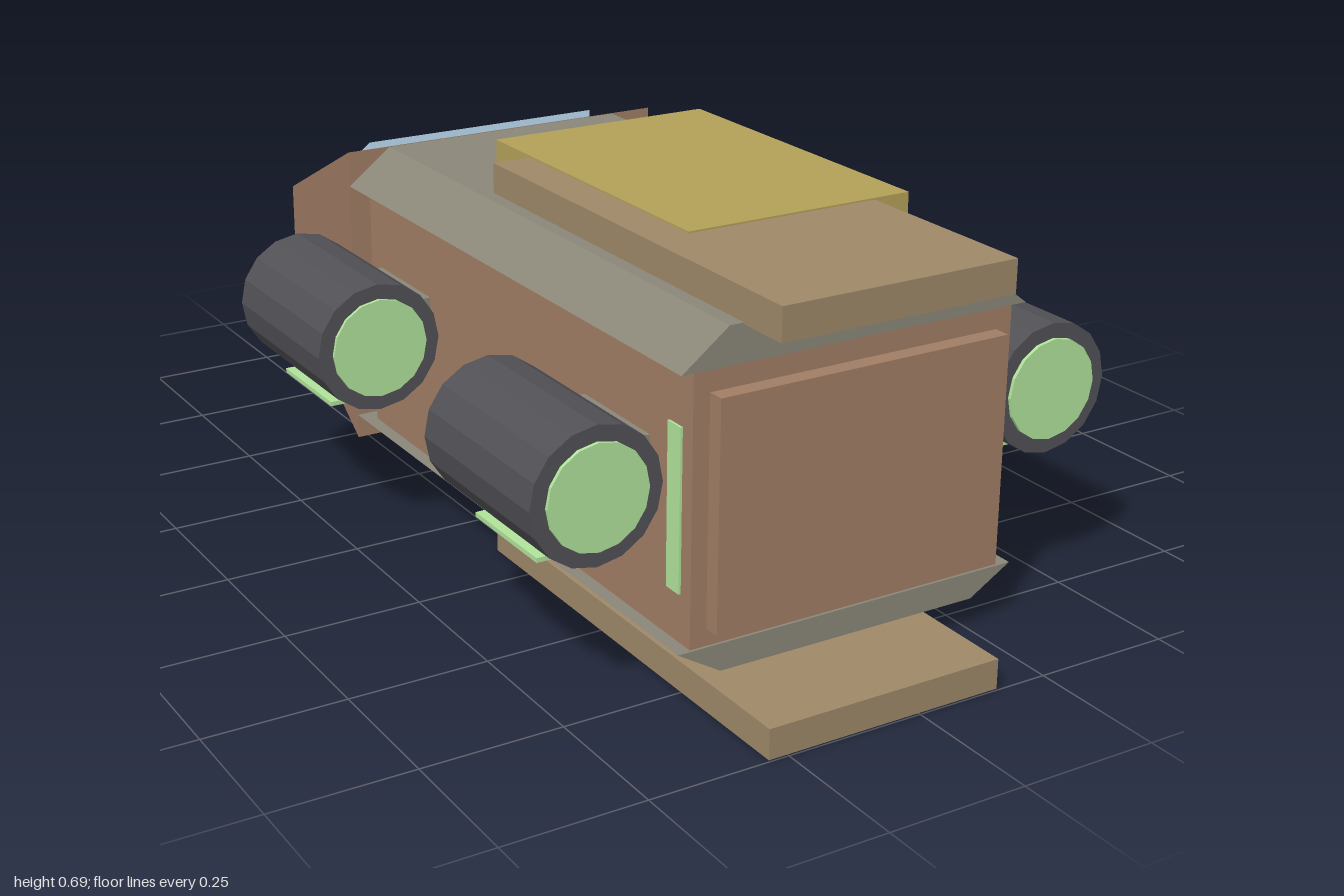
import * as THREE from 'three';

const mat = (color, side = THREE.FrontSide) => new THREE.MeshStandardMaterial({ color, flatShading: true, side });
const brown = mat(0xa07d65);
const grey = mat(0x8a8678);
const tan = mat(0x9e8868);
const yellow = mat(0xb3a058);
const dark = mat(0x515156);
const green = mat(0xb0e29a, THREE.DoubleSide);
const glass = mat(0xbfe0f6);

export function createModel() {
  const root = new THREE.Group();

  const add = (name, geometry, material, parent = root) => {
    const mesh = new THREE.Mesh(geometry, material);
    mesh.name = name;
    parent.add(mesh);
    return mesh;
  };

  // Box given by its limits on each axis
  const block = (name, material, [x0, x1], [y0, y1], [z0, z1], parent) => {
    const mesh = add(name, new THREE.BoxGeometry(x1 - x0, y1 - y0, z1 - z0), material, parent);
    mesh.position.set((x0 + x1) / 2, (y0 + y1) / 2, (z0 + z1) / 2);
    return mesh;
  };

  // Six-sided solid between two trapezoids: [z, bottom y, top y, bottom half width, top half width]
  const loft = (name, material, nose, tail) => {
    const geometry = new THREE.BoxGeometry(1, 1, 1);
    const p = geometry.attributes.position;
    for (let i = 0; i < p.count; i++) {
      const [z, y0, y1, w0, w1] = p.getZ(i) < 0 ? nose : tail;
      const top = p.getY(i) > 0;
      p.setXYZ(i, Math.sign(p.getX(i)) * (top ? w1 : w0), top ? y1 : y0, z);
    }
    geometry.computeVertexNormals();
    return add(name, geometry, material);
  };

  // Cabin, with an inner core that shows as the rear hatch
  block('cabin', brown, [-0.305, 0.305], [0.105, 0.57], [-0.315, 0.805]);
  block('rearHatch', brown, [-0.275, 0.275], [0.135, 0.53], [-0.35, 0.835]);

  // Bevelled roof and floor
  loft('roof', grey, [-0.35, 0.568, 0.633, 0.33, 0.245], [0.81, 0.568, 0.633, 0.33, 0.245]);
  loft('floor', grey, [-0.35, 0.057, 0.105, 0.25, 0.33], [0.81, 0.057, 0.105, 0.25, 0.33]);

  // Tapered cockpit with its raised window
  loft('cockpit', brown, [-1, 0.1, 0.38, 0.17, 0.17], [-0.35, 0.058, 0.634, 0.33, 0.33]);
  loft('window', glass, [-0.8, 0.43, 0.461, 0.145, 0.145], [-0.437, 0.56, 0.621, 0.245, 0.245]);

  // Overlapping roof plates
  block('roofPlateRear', tan, [-0.22, 0.222], [0.63, 0.688], [0.02, 0.908]);
  block('roofPlateFront', yellow, [-0.147, 0.293], [0.63, 0.691], [-0.105, 0.542]);

  // Overlapping belly plates and rails
  block('bellyPlateRear', tan, [-0.287, 0.153], [0.003, 0.056], [0.14, 1]);
  block('bellyPlateSide', yellow, [-0.03, 0.293], [0, 0.056], [0.37, 0.665]);
  for (const s of [-1, 1]) {
    const rail = block('bellyRail', yellow, [-0.023, 0.023], [0.03, 0.06], [-0.353, 0.703]);
    rail.position.x = s * 0.21;
  }

  // Panels on the left flank only
  block('sidePanel', tan, [0.3, 0.334], [0.29, 0.575], [-0.315, 0.425]);
  block('sideBox', yellow, [0.304, 0.358], [0.255, 0.61], [0.418, 0.743]);

  for (const s of [-1, 1]) {
    // Upright light strips by the rear corners
    const strip = block('lightStrip', green, [-0.004, 0.004], [0.19, 0.47], [0.74, 0.777]);
    strip.position.x = s * 0.305;

    // Two engines on each flank
    for (const z of [-0.172, 0.583]) {
      const engine = new THREE.Group();
      engine.name = 'engine';
      engine.position.set(s * 0.443, 0.378, z);
      root.add(engine);

      add('engineBarrel', new THREE.CylinderGeometry(0.117, 0.117, 0.345, 16).rotateX(Math.PI / 2), dark, engine);
      const glow = add('engineGlow', new THREE.CylinderGeometry(0.09, 0.09, 0.012, 16).rotateX(Math.PI / 2), green, engine);
      glow.position.z = 0.173;
      block('engineUnderPlate', green, [-0.065, 0.065], [-0.124, -0.116], [-0.1, 0.1], engine);
      const strut = block('engineStrut', grey, [-0.04, 0.04], [-0.047, 0.047], [-0.1, 0.1], engine);
      strut.position.x = -s * 0.11;
    }
  }
  return root;
}
